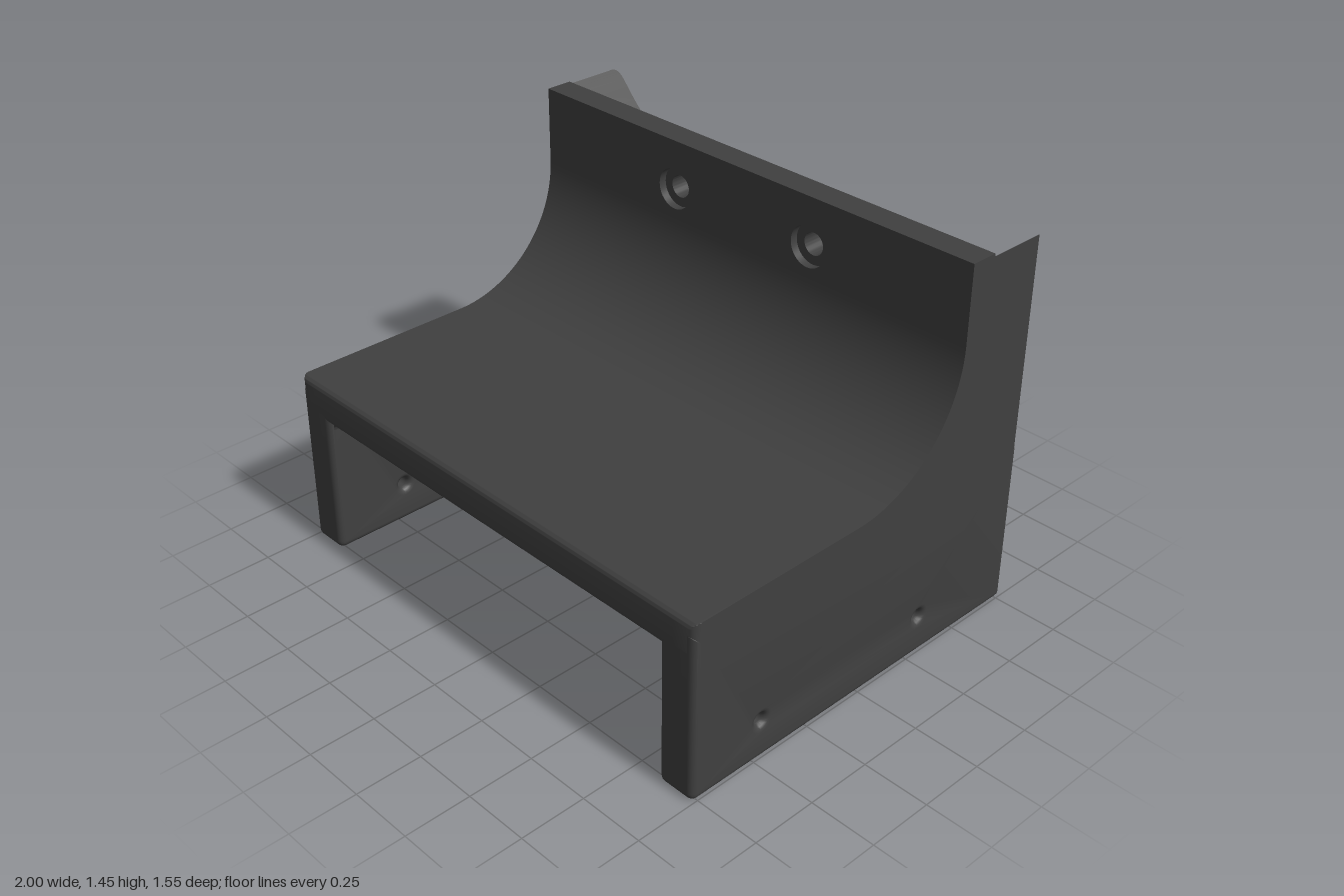
import * as THREE from 'three';
import { toCreasedNormals } from 'three/addons/utils/BufferGeometryUtils.js';

const R = 0.03;          // small edge rounding
const Z = 0.775;         // half depth
const LEG = 0.85;        // inner face of the legs
const CEIL = 0.545;      // channel ceiling
const WALL_Y = 1.16;     // where the curved front turns vertical
const HOLE = { x: 0.32, y: 1.265, r: 0.042, head: 0.077 };

const material = new THREE.MeshStandardMaterial({ color: 0x404040 });

function addMesh(parent, geometry, name) {
  const mesh = new THREE.Mesh(toCreasedNormals(geometry, 0.6), material);
  mesh.name = name;
  parent.add(mesh);
  return mesh;
}

function circleHole(x, y, r) {
  return new THREE.Path().absarc(x, y, r, 0, Math.PI * 2, true);
}

// Height of the round scoop in the back at a given x
function scoopY(x) {
  const radius = 1.265;
  return 0.95 + radius - Math.sqrt(radius * radius - x * x);
}

// Drop of a quarter round of radius R at distance d into it
function roundDrop(d) {
  const t = Math.min(Math.max(d, 0), R);
  return R - Math.sqrt(R * R - t * t);
}

// Deck, curved front and scooped back: side profile swept across x
function bodyGeometry() {
  const s = new THREE.Shape(); // horizontal axis is -z
  s.moveTo(-Z + R, CEIL);
  s.lineTo(Z - R, CEIL);
  s.quadraticCurveTo(Z, CEIL, Z, CEIL + R);
  s.lineTo(Z, 1.44);
  s.lineTo(0.525, 1.44);
  s.lineTo(0.525, WALL_Y);
  s.lineTo(0.42, WALL_Y);
  s.absarc(-0.05, WALL_Y, 0.47, 0, -Math.PI / 2, true);
  s.lineTo(-Z + R, 0.69);
  s.quadraticCurveTo(-Z, 0.69, -Z, 0.69 - R);
  s.lineTo(-Z, CEIL + R);
  s.quadraticCurveTo(-Z, CEIL, -Z + R, CEIL);

  // Cross-section positions, denser at the rounded ends and leg fillets
  const half = [];
  for (let i = 1; i <= 20; i++) half.push((i / 20) * (LEG - R));
  for (let i = 1; i <= 4; i++) half.push(LEG - R + R * Math.sin((i / 4) * Math.PI / 2));
  half.push(0.91);
  for (let i = 0; i <= 5; i++) half.push(1 - R + R * Math.sin((i / 5) * Math.PI / 2));
  const xs = [...half.map((x) => -x).reverse(), 0, ...half];

  const steps = xs.length - 1;
  const g = new THREE.ExtrudeGeometry(s, { depth: 1, steps, curveSegments: 16, bevelEnabled: false });
  g.rotateY(Math.PI / 2);
  const p = g.attributes.position;
  for (let i = 0; i < p.count; i++) {
    const x = xs[Math.round(p.getX(i) * steps)];
    let y = p.getY(i);
    let z = p.getZ(i);
    if (y > 1.3) y = scoopY(x);                                   // scoop
    else if (y < CEIL + 0.001) y -= roundDrop(Math.abs(x) - (LEG - R)); // leg fillet
    const lim = Z - roundDrop(Math.abs(x) - (1 - R));             // rounded ends
    z = Math.min(Math.max(z, -lim), lim);
    p.setXYZ(i, x, y, z);
  }
  return g;
}

// Side leg with two screw holes and softened edges
function legGeometry() {
  const top = 0.64;
  const s = new THREE.Shape();
  s.moveTo(-Z + R, 0);
  s.lineTo(Z - R, 0);
  s.quadraticCurveTo(Z, 0, Z, R);
  s.lineTo(Z, top);
  s.lineTo(-Z, top);
  s.lineTo(-Z, R);
  s.quadraticCurveTo(-Z, 0, -Z + R, 0);
  for (const z of [0.47, -0.3]) s.holes.push(circleHole(-z, 0.155, 0.022));
  const b = 0.025;
  const g = new THREE.ExtrudeGeometry(s, {
    depth: 1 - LEG - 2 * b, curveSegments: 10,
    bevelThickness: b, bevelSize: b, bevelOffset: -b, bevelSegments: 4,
  });
  g.translate(0, 0, b);
  return g.rotateY(Math.PI / 2);
}

// Layer of the upright wall with two round holes
function wallGeometry(depth, z, holeRadius) {
  const s = new THREE.Shape();
  s.moveTo(-1, WALL_Y);
  s.lineTo(1, WALL_Y);
  s.lineTo(1, 1.45);
  s.lineTo(-1, 1.45);
  for (const side of [-1, 1]) s.holes.push(circleHole(side * HOLE.x, HOLE.y, holeRadius));
  const g = new THREE.ExtrudeGeometry(s, { depth, bevelEnabled: false, curveSegments: 24 });
  return g.translate(0, 0, z);
}

// Tapered, round-topped screw boss behind the wall
function bossGeometry() {
  const r = 0.13;
  const a = 0.31;
  const s = new THREE.Shape();
  s.moveTo(-0.253, -0.365);
  s.lineTo(0.253, -0.365);
  s.absarc(0, 0, r, a, Math.PI - a, false);
  s.holes.push(circleHole(0, 0, HOLE.r));
  return new THREE.ExtrudeGeometry(s, { depth: 0.075, bevelEnabled: false, curveSegments: 24 });
}

export function createModel() {
  const model = new THREE.Group();
  model.name = 'bracket';

  addMesh(model, bodyGeometry(), 'body');

  // Wall: counterbored front layer over a narrower-holed back layer
  addMesh(model, wallGeometry(0.03, -0.45, HOLE.head), 'wallFront');
  addMesh(model, wallGeometry(0.075, -0.525, HOLE.r), 'wallBack');

  for (const [side, label] of [[1, 'left'], [-1, 'right']]) {
    const leg = addMesh(model, legGeometry(), label + 'Leg');
    leg.position.x = side > 0 ? LEG : -1;

    const boss = addMesh(model, bossGeometry(), label + 'ScrewBoss');
    boss.position.set(side * HOLE.x, HOLE.y, -0.6);
  }
  return model;
}
